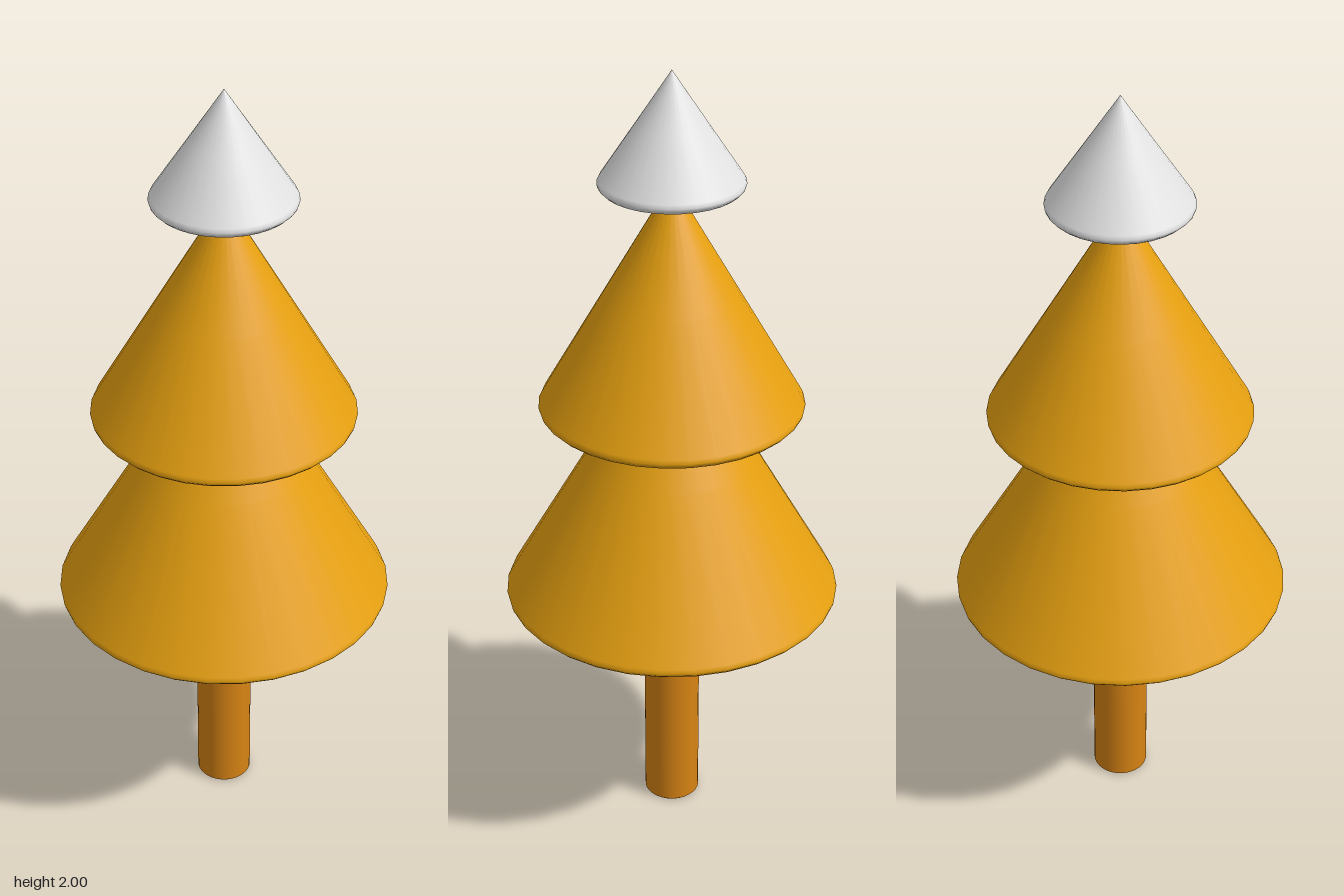
import * as THREE from 'three';

const SIDES = 32;

// Lathe a profile given as [radius, height] pairs, bottom to top
function turned(name, profile, material) {
  const points = profile.map(([r, y]) => new THREE.Vector2(r, y));
  const mesh = new THREE.Mesh(new THREE.LatheGeometry(points, SIDES), material);
  mesh.name = name;
  return mesh;
}

// Cone with a flat underside and a small rounded rim
function tier(name, radius, base, apex, material) {
  return turned(name, [
    [0, base],
    [radius - 0.016, base],
    [radius - 0.01, base + 0.001],
    [radius - 0.002, base + 0.009],
    [radius, base + 0.016],
    [radius - 0.004, base + 0.025],
    [radius * 0.5, (base + 0.018 + apex) / 2],
    [0, apex],
  ], material);
}

export function createModel() {
  const foliage = new THREE.MeshStandardMaterial({ color: 0xe6a010 });
  foliage.name = 'golden foliage';
  const bark = new THREE.MeshStandardMaterial({ color: 0xd88414 });
  bark.name = 'orange bark';
  const snow = new THREE.MeshStandardMaterial({ color: 0xe2e2e2 });
  snow.name = 'pale snow';

  const tree = new THREE.Group();
  tree.name = 'tree';

  // Trunk, softly shaded toward its closed foot
  tree.add(turned('trunk', [[0, 0], [0.067, 0], [0.071, 0.004], [0.071, 0.65]], bark));

  // Two foliage tiers and the snowy tip
  tree.add(tier('lowerFoliage', 0.42, 0.635, 1.39, foliage));
  tree.add(tier('upperFoliage', 0.325, 1.152, 1.737, foliage));
  tree.add(tier('snowCap', 0.174, 1.718, 2, snow));
  return tree;
}
